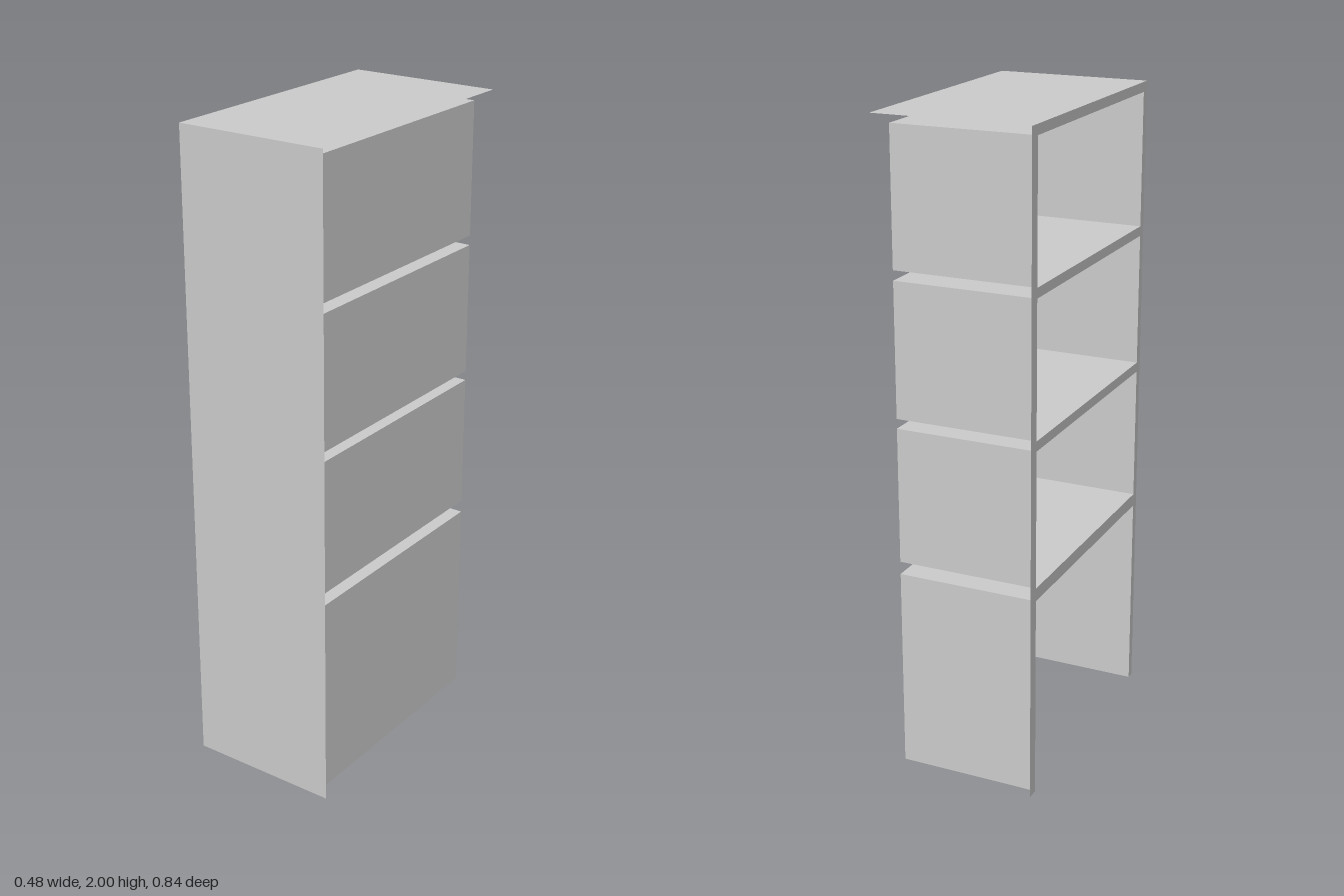
import * as THREE from 'three';

const W = 0.24, D = 0.42, H = 2;             // outer half width, half depth, height
const BACK = 0.2, Z0 = -0.383, Z1 = 0.395;   // inner back and side walls
const BAYS = [[0, 0.63], [0.67, 1.09], [1.12, 1.53], [1.56, 1.97]]; // bottom and top of each bay

export function createModel() {
  const model = new THREE.Group();
  model.name = 'bookcase';
  const material = new THREE.MeshStandardMaterial({ color: 0xcccccc, side: THREE.DoubleSide });

  function add(parent, name, geometry) {
    const mesh = new THREE.Mesh(geometry, material);
    mesh.name = name;
    parent.add(mesh);
    return mesh;
  }

  // Thin panels lying across each axis
  const across = {
    x: (x, y0, y1, z0, z1) => new THREE.PlaneGeometry(z1 - z0, y1 - y0)
      .rotateY(-Math.PI / 2).translate(x, (y0 + y1) / 2, (z0 + z1) / 2),
    y: (y, x0, x1, z0, z1) => new THREE.PlaneGeometry(x1 - x0, z1 - z0)
      .rotateX(-Math.PI / 2).translate((x0 + x1) / 2, y, (z0 + z1) / 2),
    z: (z, x0, x1, y0, y1) => new THREE.PlaneGeometry(x1 - x0, y1 - y0)
      .translate((x0 + x1) / 2, (y0 + y1) / 2, z),
  };

  // Outer top and end panel
  add(model, 'top', across.y(H, -W, W, -D, D));
  add(model, 'endPanel', across.z(D, -W, W, 0, H));

  // Face frame on the open side, notched to the floor around the lowest bay
  const frame = new THREE.Shape([
    [-D, 0], [Z0, 0], [Z0, BAYS[0][1]], [Z1, BAYS[0][1]], [Z1, 0], [D, 0], [D, H], [-D, H],
  ].map(([z, y]) => new THREE.Vector2(z, y)));
  for (const [y0, y1] of BAYS.slice(1)) {
    frame.holes.push(new THREE.Path([
      [Z0, y0], [Z0, y1], [Z1, y1], [Z1, y0],
    ].map(([z, y]) => new THREE.Vector2(z, y))));
  }
  add(model, 'faceFrame', new THREE.ShapeGeometry(frame).rotateY(-Math.PI / 2).translate(-W, 0, 0));

  // Recessed bays, the lowest without a floor
  BAYS.forEach(([y0, y1], i) => {
    const bay = new THREE.Group();
    bay.name = `bay${i + 1}`;
    add(bay, 'backPanel', across.x(BACK, y0, y1, Z0, Z1));
    add(bay, 'rearSide', across.z(Z0, -W, BACK, y0, y1));
    add(bay, 'frontSide', across.z(Z1, -W, BACK, y0, y1));
    add(bay, 'ceiling', across.y(y1, -W, BACK, Z0, Z1));
    if (i > 0) add(bay, 'shelf', across.y(y0, -W, BACK, Z0, Z1));
    model.add(bay);
  });

  return model;
}
